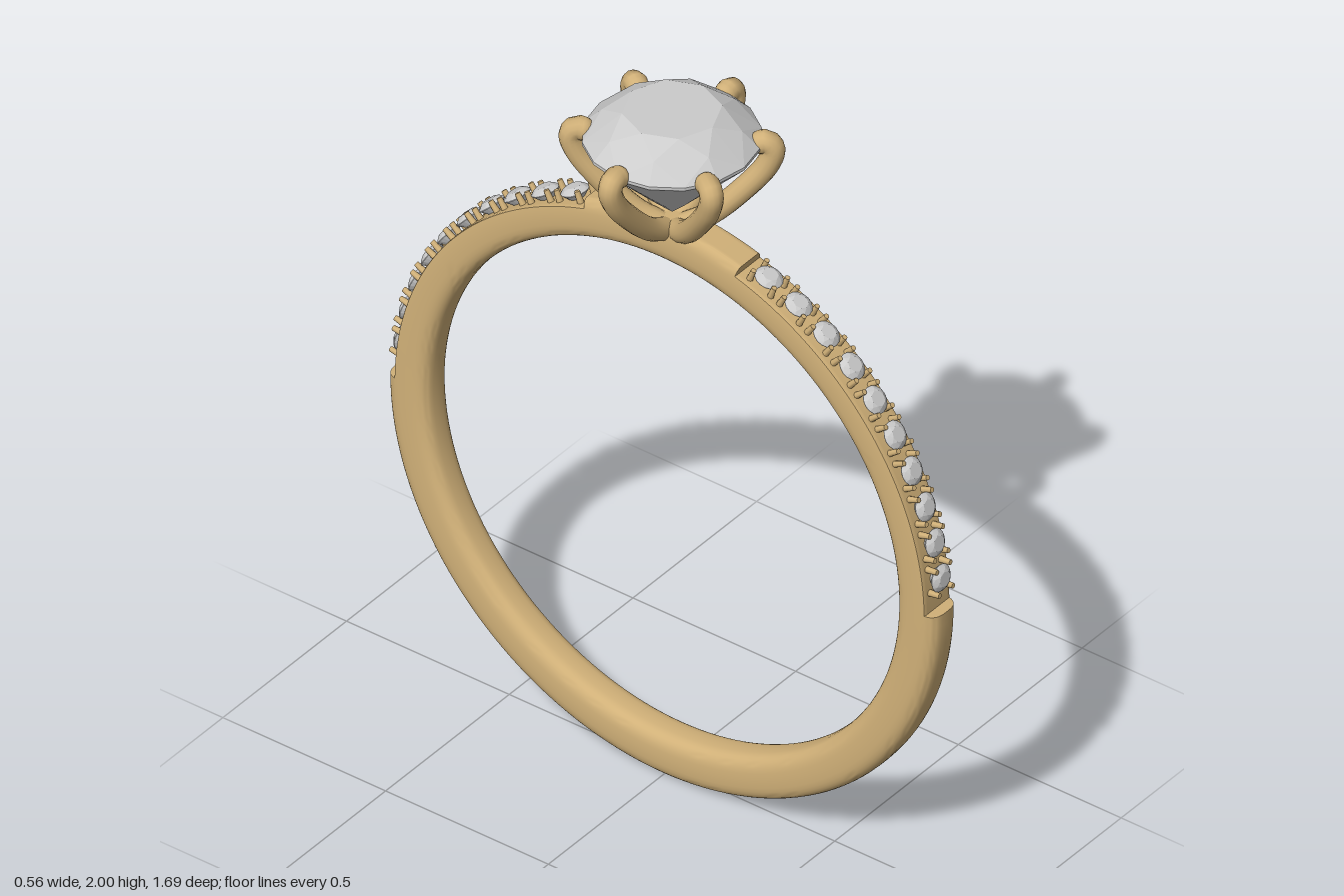
import * as THREE from 'three';
import { toCreasedNormals } from 'three/addons/utils/BufferGeometryUtils.js';
import { ConvexGeometry } from 'three/addons/geometries/ConvexGeometry.js';

const CY = 0.845; // height of the band's centre
const rad = THREE.MathUtils.degToRad;
const gold = new THREE.MeshStandardMaterial({ color: 0xd0b078 });
const stone = new THREE.MeshStandardMaterial({ color: 0xcccccc, flatShading: true });

function add(parent, name, geometry, material) {
  const mesh = new THREE.Mesh(geometry, material);
  mesh.name = name;
  parent.add(mesh);
  return mesh;
}

// Rounded section swept round the finger; the outer face is cut lower where stones sit
function bandGeometry() {
  const spans = [ // start angle, end angle (from the top), outer radius limit, steps
    [-16.5, 16.5, 0.837, 16], [16.6, 89.5, 0.815, 36],
    [89.6, 270.4, 0.845, 80], [270.5, 343.4, 0.815, 36],
  ];
  const sides = 36, pos = [], idx = [];
  const soft = (v) => Math.sign(v) * Math.abs(v) ** 0.65;
  let rings = 0;
  for (const [from, to, limit, steps] of spans) {
    for (let i = 0; i <= steps; i++, rings++) {
      const t = rad(from + (to - from) * i / steps);
      for (let j = 0; j < sides; j++) {
        const u = j / sides * Math.PI * 2;
        const r = Math.min(limit, 0.782 + 0.063 * soft(Math.sin(u)));
        pos.push(0.053 * soft(Math.cos(u)), CY + r * Math.cos(t), r * Math.sin(t));
      }
    }
  }
  for (let i = 0; i < rings; i++) {
    const n = (i + 1) % rings;
    for (let j = 0; j < sides; j++) {
      const k = (j + 1) % sides;
      idx.push(i * sides + j, i * sides + k, n * sides + j);
      idx.push(i * sides + k, n * sides + k, n * sides + j);
    }
  }
  const g = new THREE.BufferGeometry();
  g.setAttribute('position', new THREE.Float32BufferAttribute(pos, 3));
  g.setIndex(idx);
  return toCreasedNormals(g, rad(40));
}

// Round brilliant cut with a girdle radius of 1, girdle at y = 0
function gemGeometry() {
  const pts = [new THREE.Vector3(0, -1.03, 0)];
  const ring = (n, r, y, shift) => {
    for (let i = 0; i < n; i++) {
      const a = (i + shift) / n * Math.PI * 2;
      pts.push(new THREE.Vector3(r * Math.cos(a), y, r * Math.sin(a)));
    }
  };
  ring(8, 0.56, 0.37, 0);      // table
  ring(8, 0.8, 0.22, 0.5);     // crown kites
  ring(16, 1, 0.02, 0);        // girdle
  ring(16, 1, -0.02, 0);
  ring(8, 0.26, -0.785, 0.5);  // pavilion
  return new ConvexGeometry(pts);
}

export function createModel() {
  const ring = new THREE.Group();
  ring.name = 'ring';
  add(ring, 'band', bandGeometry(), gold);

  // Centre stone
  const gem = gemGeometry();
  const centre = add(ring, 'centreStone', gem, stone);
  centre.scale.setScalar(0.222);
  centre.position.y = 1.918;

  // Six curved claws rising from a small hub
  const head = new THREE.Group();
  head.name = 'head';
  ring.add(head);
  const path = new THREE.CatmullRomCurve3(
    [[0.01, 1.645], [0.09, 1.69], [0.175, 1.775], [0.235, 1.855], [0.25, 1.905], [0.235, 1.925], [0.22, 1.922]]
      .map(([x, y]) => new THREE.Vector3(x, y, 0)));
  const claw = new THREE.TubeGeometry(path, 36, 0.03, 14);
  const tip = new THREE.SphereGeometry(0.03, 14, 10);
  for (let i = 0; i < 6; i++) {
    const prong = new THREE.Group();
    prong.name = 'prong';
    prong.rotation.y = i * Math.PI / 3;
    add(prong, 'claw', claw, gold);
    add(prong, 'clawTip', tip, gold).position.set(0.22, 1.922, 0);
    head.add(prong);
  }
  add(head, 'hub', new THREE.CylinderGeometry(0.05, 0.05, 0.06, 20), gold).position.y = 1.65;

  // Ten small stones on each shoulder, each held by four beads
  const bead = new THREE.CylinderGeometry(0.007, 0.01, 0.05, 8);
  for (const side of [1, -1]) {
    for (let i = 0; i < 10; i++) {
      const setting = new THREE.Group();
      setting.name = 'shoulderSetting';
      setting.position.y = CY;
      setting.rotation.x = side * rad(21 + i * 6.9);
      const small = add(setting, 'smallStone', gem, stone);
      small.scale.setScalar(0.037);
      small.position.y = 0.832;
      for (const sx of [1, -1]) for (const sz of [1, -1]) {
        add(setting, 'bead', bead, gold).position.set(sx * 0.027, 0.821, sz * 0.034);
      }
      ring.add(setting);
    }
  }
  return ring;
}
